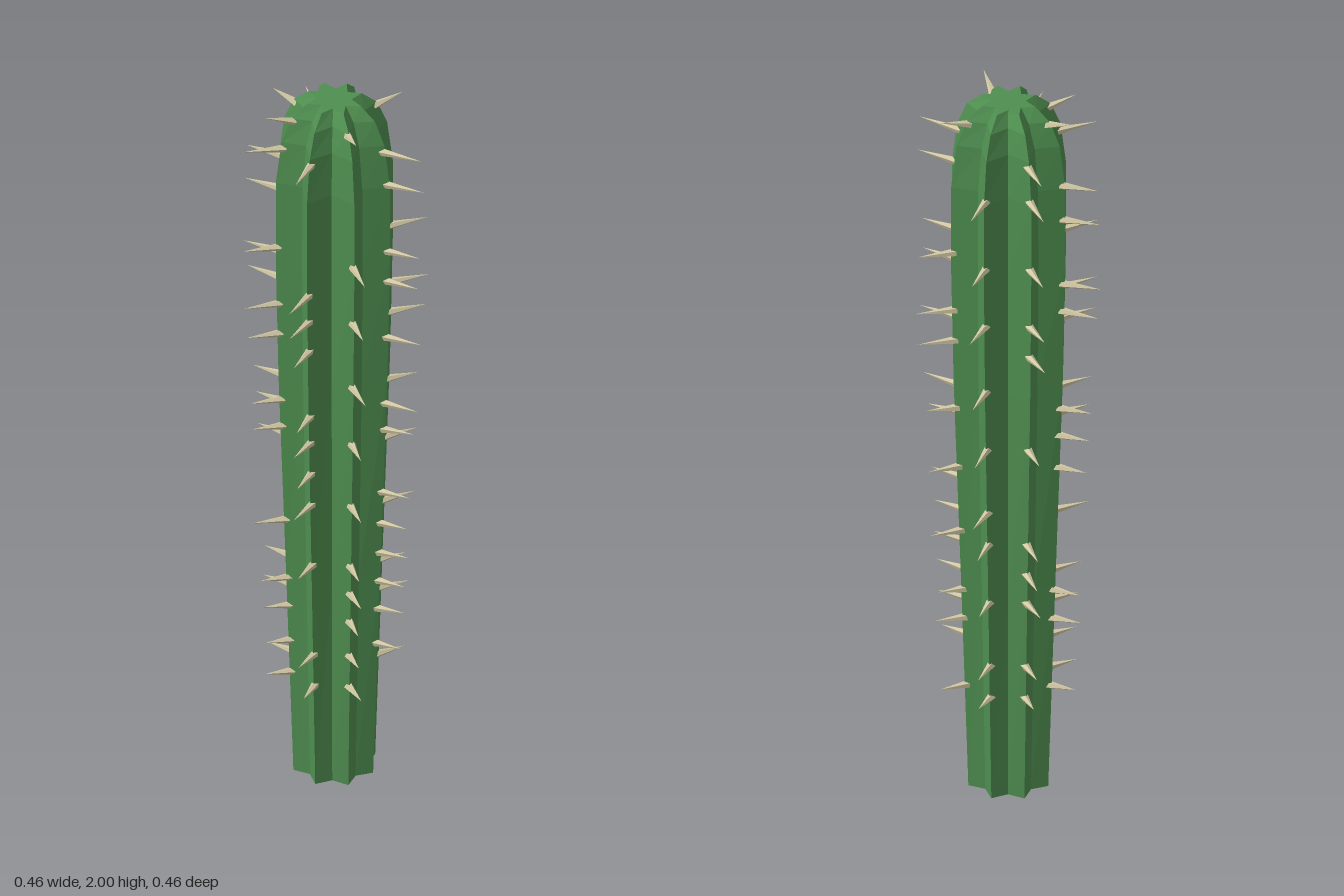
import * as THREE from 'three';

const RIBS = 8;
const CX = -0.006, CZ = -0.004;
// height, ridge radius, valley radius
const RINGS = [
  [0, 0.107, 0.08], [0.6, 0.126, 0.092], [1.2, 0.146, 0.103], [1.55, 0.153, 0.106],
  [1.78, 0.153, 0.105], [1.9, 0.138, 0.093], [1.965, 0.112, 0.072], [2, 0.072, 0.043],
];
const SPINE_HEIGHTS = [0.305, 0.4, 0.505, 0.59, 0.675, 0.765, 0.86, 0.955, 1.05, 1.13,
  1.225, 1.33, 1.42, 1.5, 1.59, 1.69, 1.79, 1.885, 1.96];
// which heights carry a spine, for each ridge
const SPINES = [
  [0, 1, 2, 3, 4, 6, 8, 10, 12, 14, 18],
  [0, 1, 4, 6, 7, 8, 9, 11, 12, 13, 17],
  [0, 1, 2, 3, 5, 8, 9, 11, 12, 14, 17, 18],
  [0, 2, 3, 7, 8, 9, 12, 13, 15, 16, 18],
  [0, 1, 3, 4, 5, 8, 11, 12, 14, 16, 17],
  [0, 1, 3, 5, 6, 8, 10, 12, 14, 16],
  [0, 2, 3, 5, 7, 9, 11, 12, 14, 18],
  [1, 2, 3, 4, 5, 6, 8, 9, 11, 13, 14, 16, 17],
];

// star-shaped rings joined into a ribbed stem, closed at both ends
function stemGeometry() {
  const n = RIBS * 2, pos = [], index = [];
  for (const [y, ridge, valley] of RINGS) {
    for (let i = 0; i < n; i++) {
      const a = (i / n) * Math.PI * 2, r = i % 2 ? ridge : valley;
      pos.push(Math.cos(a) * r, y, Math.sin(a) * r);
    }
  }
  const last = RINGS.length - 1, bottom = pos.length / 3, top = bottom + 1;
  pos.push(0, 0, 0, 0, 2, 0);
  for (let i = 0; i < n; i++) {
    const j = (i + 1) % n;
    for (let k = 0; k < last; k++) {
      const a = k * n + i, b = k * n + j;
      index.push(a, a + n, b, b, a + n, b + n);
    }
    index.push(bottom, i, j, top, last * n + j, last * n + i);
  }
  const g = new THREE.BufferGeometry();
  g.setAttribute('position', new THREE.Float32BufferAttribute(pos, 3));
  g.setIndex(index);
  const flat = g.toNonIndexed();
  flat.computeVertexNormals();
  return flat;
}

function ridgeRadius(y) {
  const k = Math.max(1, RINGS.findIndex((r) => r[0] >= y));
  const [y0, r0] = RINGS[k - 1], [y1, r1] = RINGS[k];
  return THREE.MathUtils.mapLinear(y, y0, y1, r0, r1);
}

export function createModel() {
  const group = new THREE.Group();
  group.name = 'cactus';
  const green = new THREE.MeshStandardMaterial({ color: 0x4f8f50, flatShading: true });
  const straw = new THREE.MeshStandardMaterial({ color: 0xd2c8a4, flatShading: true });

  const stem = new THREE.Mesh(stemGeometry(), green);
  stem.name = 'ribbedStem';
  stem.position.set(CX, 0, CZ);
  group.add(stem);

  let seed = 7;
  const rand = () => (seed = (seed * 16807) % 2147483647) / 2147483647;

  // thin spines pointing outward from the ridges
  const spines = new THREE.Group();
  spines.name = 'spines';
  spines.position.copy(stem.position);
  group.add(spines);
  const cone = new THREE.ConeGeometry(0.011, 1, 5).translate(0, 0.5, 0);
  const up = new THREE.Vector3(0, 1, 0);
  SPINES.forEach((rows, rib) => {
    for (const row of rows) {
      const y = SPINE_HEIGHTS[row];
      const a = ((rib + 0.5) / RIBS) * Math.PI * 2;
      const aim = a + (rand() - 0.5) * 0.16;
      const lift = y > 1.9 ? 0.3 : 0.06;
      const r = ridgeRadius(y) - 0.012;
      const length = (y > 1.9 ? 0.07 : 0.062 + 0.02 * y) + rand() * 0.018;
      const spine = new THREE.Mesh(cone, straw);
      spine.name = 'spine';
      spine.position.set(Math.cos(a) * r, y - 0.005, Math.sin(a) * r);
      spine.quaternion.setFromUnitVectors(up,
        new THREE.Vector3(Math.cos(aim), lift, Math.sin(aim)).normalize());
      spine.scale.y = length;
      spines.add(spine);
    }
  });
  return group;
}
